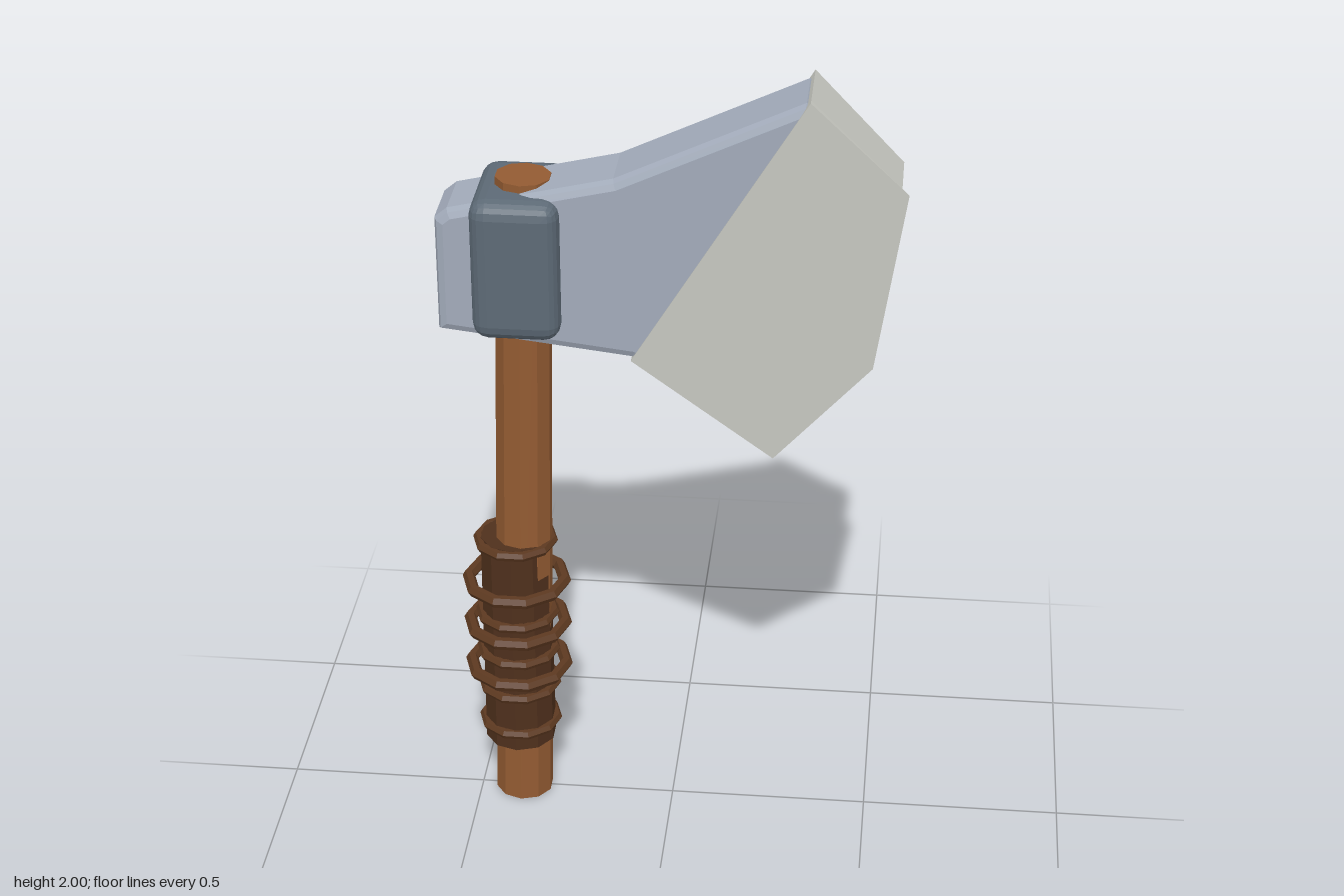
import * as THREE from 'three';
import { RoundedBoxGeometry } from 'three/addons/geometries/RoundedBoxGeometry.js';

const mat = (color) => new THREE.MeshStandardMaterial({ color, flatShading: true });

function outline(points) {
  return new THREE.Shape(points.map(([x, y]) => new THREE.Vector2(x, y)));
}

export function createModel() {
  const group = new THREE.Group();
  const wood = mat(0x935b32), leather = mat(0x4f301c), cord = mat(0x5d3920);
  const steel = mat(0xa2abba), edgeSteel = mat(0xc6c7c0), iron = mat(0x5d6a76);

  function add(name, geometry, material, x = 0, y = 0, z = 0) {
    const mesh = new THREE.Mesh(geometry, material);
    mesh.name = name;
    mesh.position.set(x, y, z);
    group.add(mesh);
    return mesh;
  }

  // Handle: tapered ten-sided shaft leaning slightly towards the blade
  const shaft = add('handle', new THREE.CylinderGeometry(0.067, 0.074, 1.75, 10), wood, -0.37, 0.878);
  shaft.rotation.z = -0.023;

  // Leather grip with thin and wide cord rings
  const gripX = -0.395;
  add('grip', new THREE.CylinderGeometry(0.088, 0.091, 0.6, 10), leather, gripX, 0.47);
  const addRing = (name, y, radius, tube) => {
    const ring = new THREE.TorusGeometry(radius, tube, 6, 10);
    ring.rotateX(Math.PI / 2);
    add(name, ring, cord, gripX, y);
  };
  for (const y of [0.22, 0.33, 0.435, 0.545, 0.758]) addRing('thinRing', y, 0.094, 0.013);
  for (const y of [0.39, 0.515, 0.64]) addRing('wideRing', y, 0.122, 0.016);

  // Axe head: bevelled slab
  const bevel = 0.022;
  const body = new THREE.ExtrudeGeometry(outline([
    [-0.55, 1.382], [-0.09, 1.328], [0.24, 1.11], [0.46, 1.35], [0.515, 1.77],
    [0.31, 1.99], [-0.13, 1.785], [-0.52, 1.695], [-0.55, 1.67],
  ]), {
    depth: 0.19 - 2 * bevel, bevelEnabled: true, bevelThickness: bevel,
    bevelSize: bevel, bevelOffset: -bevel, bevelSegments: 2,
  });
  add('axeHead', body, steel, 0, 0, -0.095 + bevel);

  // Blade cladding, with its front face flared into a narrow lip
  const blade = new THREE.ExtrudeGeometry(outline([
    [-0.09, 1.327], [0.245, 1.1], [0.467, 1.345], [0.532, 1.777], [0.32, 2.0],
  ]), { depth: 0.2, steps: 12, bevelEnabled: false });
  const p = blade.attributes.position;
  for (let i = 0; i < p.count; i++) {
    if (p.getZ(i) > 0.195 && p.getX(i) > 0.2 && p.getY(i) < 1.95) {
      p.setX(i, 0.1 + (p.getX(i) - 0.1) * 1.04);
      p.setY(i, 1.6 + (p.getY(i) - 1.6) * 1.04);
    }
  }
  blade.computeVertexNormals();
  add('blade', blade, edgeSteel, 0, 0, -0.1);

  // Iron collar wrapped round the head above the handle
  add('collar', new RoundedBoxGeometry(0.21, 0.355, 0.284, 2, 0.04), iron, -0.359, 1.557);

  return group;
}
